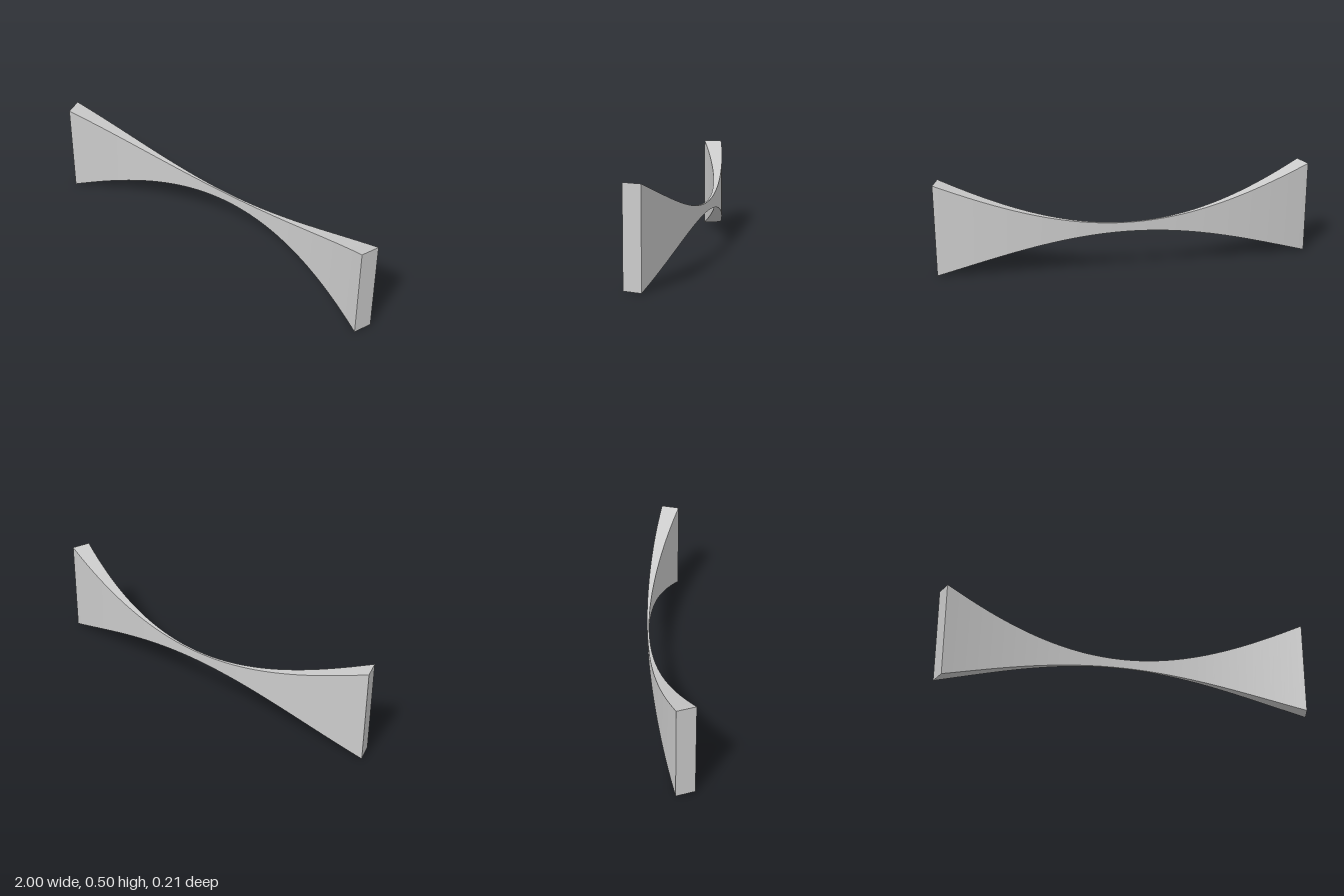
import * as THREE from 'three';

const HALF_HEIGHT = 0.251;   // at the ends
const HALF_DEPTH = 0.05;     // at the ends
const HALF_ANGLE = THREE.MathUtils.degToRad(17.66);
const RADIUS = 0.985 / Math.sin(HALF_ANGLE);
const BACK_Z = -0.098;       // centreline at the waist
const WAIST = 0.1;           // waist size relative to the ends

// Bar bent along a circular arc, its section shrinking to a narrow waist
function bentBar() {
  const geometry = new THREE.BoxGeometry(2, 2, 2, 64, 1, 1);
  const pos = geometry.attributes.position;
  for (let i = 0; i < pos.count; i++) {
    const t = pos.getX(i);
    const scale = 1 - (1 - WAIST) * Math.cos((t * Math.PI) / 2);
    const angle = t * HALF_ANGLE;
    const r = RADIUS - pos.getZ(i) * HALF_DEPTH * scale;
    pos.setXYZ(
      i,
      r * Math.sin(angle),
      HALF_HEIGHT + pos.getY(i) * HALF_HEIGHT * scale,
      BACK_Z + RADIUS - r * Math.cos(angle)
    );
  }
  // Box sides keep their own vertices, so edges stay sharp
  geometry.computeVertexNormals();
  return geometry;
}

export function createModel() {
  const group = new THREE.Group();
  const bar = new THREE.Mesh(bentBar(), new THREE.MeshStandardMaterial({ color: 0xcccccc }));
  bar.name = 'curvedWaistedBar';
  group.add(bar);
  return group;
}
